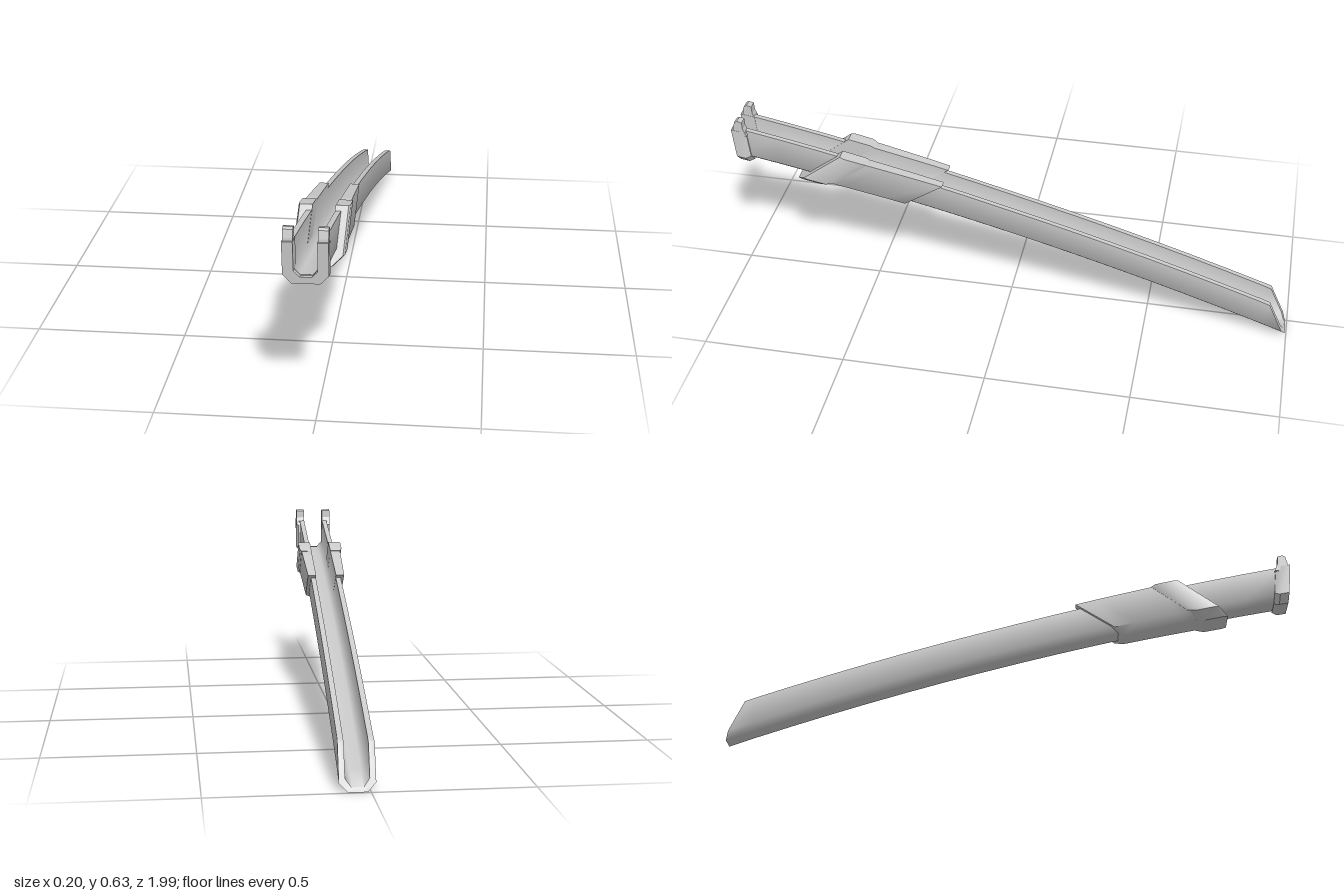
import * as THREE from 'three';
import { toCreasedNormals } from 'three/addons/utils/BufferGeometryUtils.js';

const material = new THREE.MeshStandardMaterial({ color: 0xcccccc });

// Gently arched underside, and a centre line that drifts sideways along the length
const underside = z => 0.278 + 0.235 * z - 0.045 * z * z;
const centre = z => 0.006 - 0.034 * z;

// One U-shaped section: six outer points, then six inner points back again.
// Heights are measured from the underside curve; slant leans the section along z.
function section({ z, half, low, high, inner = 0.037, floor = 0.012, slant = 0, cx = 0.026, cy = 0.022 }) {
  const wall = [[-half, high], [-half, low + cy], [-half + cx, low]];
  const inside = [[inner, high], [inner, floor + 0.02], [inner - 0.018, floor]];
  const mirror = pts => pts.map(([x, h]) => [-x, h]).reverse();
  return [...wall, ...mirror(wall), ...inside, ...mirror(inside)].map(([x, h]) => {
    const pz = z + slant * h;
    return new THREE.Vector3(centre(pz) + x, underside(pz) + h, pz);
  });
}

// Skin a list of sections (front to back) and close both ends
function loft(name, stations, crease = 0.98) {
  const loops = stations.map(section);
  const n = 12;
  const positions = [];
  const quad = (a, b, c, d) => {
    for (const p of [a, b, c, a, c, d]) positions.push(p.x, p.y, p.z);
  };
  for (let s = 0; s < loops.length - 1; s++) {
    const f = loops[s], b = loops[s + 1];
    for (let i = 0; i < n; i++) {
      const j = (i + 1) % n;
      quad(f[i], b[i], b[j], f[j]);
    }
  }
  const first = loops[0], last = loops[loops.length - 1];
  for (let i = 0; i < 5; i++) {
    quad(first[i], first[i + 1], first[10 - i], first[11 - i]);
    quad(last[11 - i], last[10 - i], last[i + 1], last[i]);
  }
  const geometry = new THREE.BufferGeometry();
  geometry.setAttribute('position', new THREE.Float32BufferAttribute(positions, 3));
  const mesh = new THREE.Mesh(toCreasedNormals(geometry, crease), material);
  mesh.name = name;
  return mesh;
}

export function createModel() {
  const group = new THREE.Group();
  group.name = 'channelSheath';

  // Long open channel, cut obliquely at the back tip
  const channel = [];
  for (let i = 0; i <= 14; i++) {
    const z = 0.97 - (i / 14) * 1.87;
    channel.push({ z, half: 0.055, low: 0, high: 0.116 + 0.01 * Math.max(z, 0) });
  }
  channel.push({ z: -0.995, half: 0.056, low: 0, high: 0.115, slant: 0.55 });
  group.add(loft('channel', channel));

  // Sleeve around the channel, both ends leaning back
  const sleeve = [];
  for (let i = 0; i <= 4; i++) {
    const t = i / 4;
    sleeve.push({
      z: 0.68 - 0.295 * t, half: 0.075 - 0.008 * t, low: -0.015, high: 0.133,
      inner: 0.0365, floor: 0.005, slant: -1.12, cx: 0.032, cy: 0.026,
    });
  }
  group.add(loft('sleeve', sleeve));

  // Raised band at the front of the sleeve, with a bevelled leading edge
  const band = { low: -0.025, high: 0.138, inner: 0.0363, floor: 0.005, slant: -1.05, cx: 0.032, cy: 0.03 };
  group.add(loft('sleeveBand', [
    { ...band, z: 0.745, half: 0.077 },
    { ...band, z: 0.73, half: 0.082 },
    { ...band, z: 0.665, half: 0.081 },
    { ...band, z: 0.645, half: 0.075, low: -0.015, high: 0.134 },
  ], 0.5));

  // Collar at the front mouth
  const collar = { low: -0.013, high: 0.124, inner: 0.036, floor: 0.009, slant: 0.1, cx: 0.026, cy: 0.028 };
  group.add(loft('mouthCollar', [
    { ...collar, z: 0.987, half: 0.069 },
    { ...collar, z: 0.955, half: 0.069 },
    { ...collar, z: 0.936, half: 0.06, low: -0.004 },
  ], 0.5));

  // Upright tabs on the collar arms
  const profile = new THREE.Shape([
    [0.944, 0.57], [0.992, 0.57], [0.99, 0.6], [0.984, 0.625], [0.974, 0.63], [0.957, 0.626], [0.956, 0.6],
  ].map(([z, y]) => new THREE.Vector2(z, y)));
  const tabGeometry = new THREE.ExtrudeGeometry(profile, { depth: 0.031, bevelEnabled: false });
  tabGeometry.translate(0, 0, -0.0155).rotateY(-Math.PI / 2);
  for (const side of [-1, 1]) {
    const tab = new THREE.Mesh(tabGeometry, material);
    tab.name = side > 0 ? 'leftTab' : 'rightTab';
    tab.position.x = centre(0.97) + side * 0.0525;
    group.add(tab);
  }
  return group;
}
